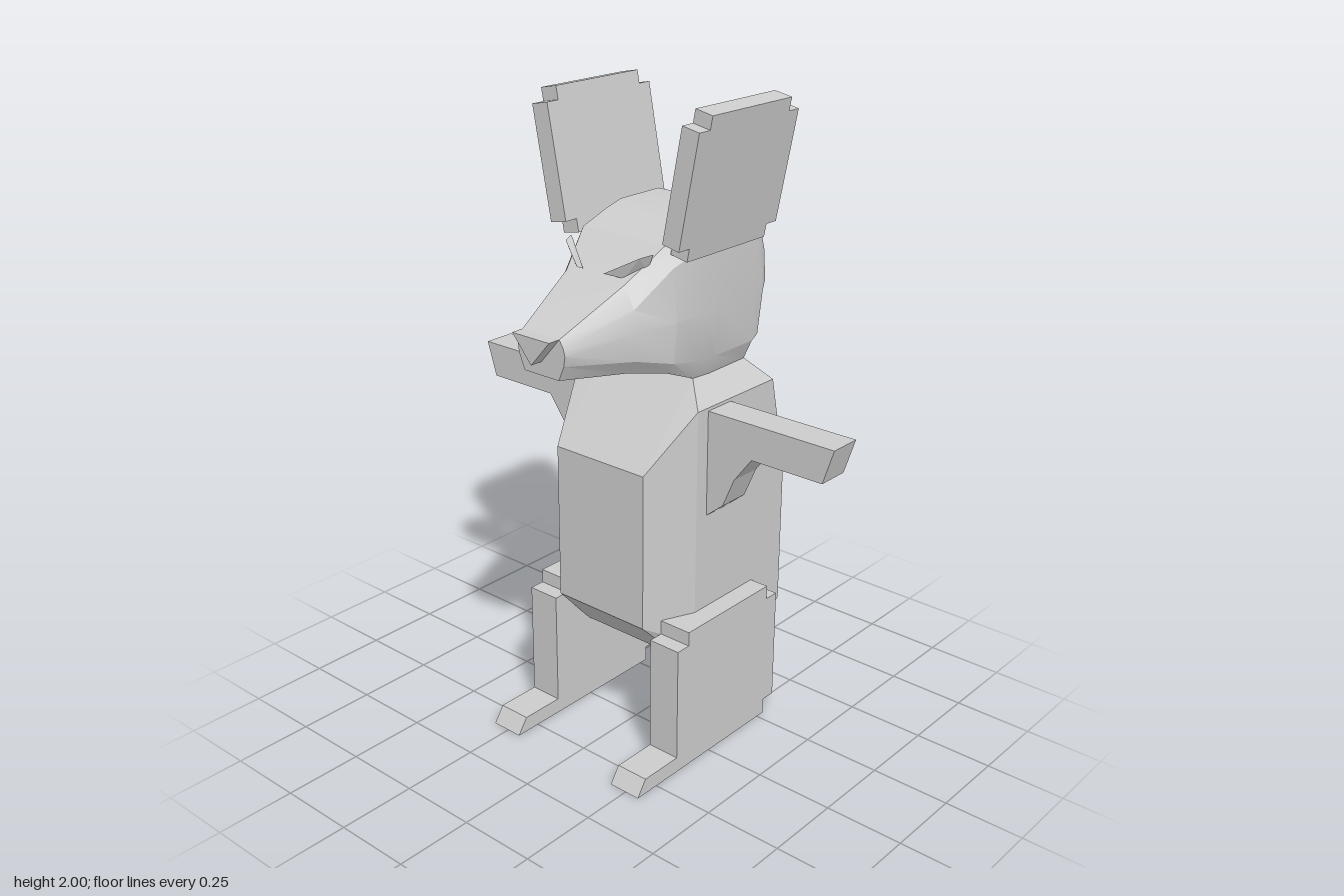
import * as THREE from 'three';
import { ConvexGeometry } from 'three/addons/geometries/ConvexGeometry.js';
import { toCreasedNormals } from 'three/addons/utils/BufferGeometryUtils.js';

const material = new THREE.MeshStandardMaterial({ color: 0xcccccc });

function add(parent, name, geometry) {
  const mesh = new THREE.Mesh(geometry, material);
  mesh.name = name;
  parent.add(mesh);
  return mesh;
}

// Flat outline pushed to a thickness, centred on its own plane
function slab(points, depth) {
  const shape = new THREE.Shape(points.map(([x, y]) => new THREE.Vector2(x, y)));
  return new THREE.ExtrudeGeometry(shape, { depth, bevelEnabled: false }).translate(0, 0, -depth / 2);
}

// Slab whose outline is given as (z, y) and whose thickness runs along x
const sideSlab = (points, depth) => slab(points, depth).rotateY(-Math.PI / 2);

// Convex solid from corner points
const hull = (points) => new ConvexGeometry(points.map((p) => new THREE.Vector3(...p)));

// Closed skin over mirrored cross-sections, ordered front to back;
// each section is [z, [x, y] from the underside up to the crown]
function loft(sections) {
  const positions = [];
  const index = [];
  const n = sections[0][1].length * 2;
  for (const [z, half] of sections) {
    for (const [x, y] of half) positions.push(x, y, z);
    for (const [x, y] of [...half].reverse()) positions.push(-x, y, z);
  }
  for (let i = 0; i < sections.length - 1; i++) {
    for (let j = 0; j < n; j++) {
      const k = (j + 1) % n;
      const a = i * n + j, b = i * n + k, c = a + n, d = b + n;
      index.push(a, c, b, b, c, d);
    }
  }
  const last = (sections.length - 1) * n;
  for (let j = 1; j < n - 1; j++) {
    index.push(0, j, j + 1, last, last + j + 1, last + j);
  }
  const geometry = new THREE.BufferGeometry();
  geometry.setAttribute('position', new THREE.Float32BufferAttribute(positions, 3));
  geometry.setIndex(index);
  return toCreasedNormals(geometry, 0.35);
}

export function createModel() {
  const model = new THREE.Group();
  model.name = 'longEaredAnimal';

  // Torso: a block with bevelled shoulders, belly and rump
  const corners = [
    [0.17, 1.19, -0.06], [0.17, 1.19, -0.30],
    [0.24, 1.12, 0.00], [0.24, 1.12, -0.36],
    [0.17, 0.95, 0.16], [0.17, 0.45, 0.16],
    [0.24, 0.81, -0.43], [0.24, 0.34, -0.43],
    [0.24, 0.36, 0.00], [0.20, 0.285, 0.00], [0.24, 0.285, -0.35],
  ];
  add(model, 'torso', hull(corners.flatMap(([x, y, z]) => [[x, y, z], [-x, y, z]])));

  // Head with tapering snout
  const head = new THREE.Group();
  head.name = 'head';
  model.add(head);
  add(head, 'skull', loft([
    [0.39, [[0.065, 1.285], [0.085, 1.33], [0.09, 1.36], [0.085, 1.38], [0.07, 1.405]]],
    [0.17, [[0.11, 1.255], [0.15, 1.30], [0.16, 1.385], [0.145, 1.45], [0.11, 1.515]]],
    [0.05, [[0.165, 1.235], [0.19, 1.27], [0.20, 1.395], [0.185, 1.55], [0.155, 1.61]]],
    [-0.06, [[0.17, 1.19], [0.195, 1.25], [0.21, 1.40], [0.205, 1.59], [0.165, 1.64]]],
    [-0.13, [[0.17, 1.18], [0.20, 1.25], [0.21, 1.40], [0.205, 1.60], [0.17, 1.655]]],
    [-0.30, [[0.17, 1.185], [0.20, 1.25], [0.21, 1.40], [0.20, 1.60], [0.17, 1.655]]],
    [-0.34, [[0.17, 1.235], [0.19, 1.26], [0.205, 1.40], [0.195, 1.57], [0.17, 1.61]]],
    [-0.37, [[0.17, 1.36], [0.18, 1.38], [0.19, 1.42], [0.185, 1.51], [0.17, 1.54]]],
  ]));

  // Wedge-shaped nose
  add(head, 'nose', slab([[-0.07, 1.405], [0, 1.325], [0.07, 1.405]], 0.05).translate(0, 0, 0.405));

  const earOutline = [
    [0.05, 0], [0.05, 0.04], [0.095, 0.04], [0.095, 0.38], [0.05, 0.38], [0.05, 0.42],
    [-0.30, 0.42], [-0.30, 0.38], [-0.345, 0.38], [-0.345, 0.04], [-0.30, 0.04], [-0.30, 0],
  ];
  const legOutline = [
    [0.335, 0], [0.30, 0.05], [0.155, 0.05], [0.155, 0.42], [0.105, 0.42], [0.105, 0.465],
    [-0.28, 0.465], [-0.28, 0.42], [-0.33, 0.42], [-0.33, 0.05], [-0.28, 0.05], [-0.28, 0],
  ];
  const armOutline = [
    [0.20, 1.11], [0.68, 1.11], [0.645, 1.00], [0.40, 1.00],
    [0.34, 0.92], [0.30, 0.825], [0.24, 0.775], [0.20, 0.775],
  ];
  const browCorners = [
    [0.155, 1.595, 0.10], [0.14, 1.59, 0.14], [0.05, 1.54, 0.19],
    [0.05, 1.53, 0.165], [0.09, 1.525, 0.15], [0.13, 1.54, 0.10],
  ];

  // Paired parts
  for (const [side, s] of [['left', 1], ['right', -1]]) {
    const ear = add(head, side + 'Ear', sideSlab(earOutline, 0.06));
    ear.position.set(s * 0.203, 1.582, 0);
    ear.rotation.z = -s * 0.193;

    add(head, side + 'Brow', hull(browCorners.map(([x, y, z]) => [s * x, y, z])));

    add(model, side + 'Arm', slab(armOutline.map(([x, y]) => [s * x, y]), 0.105))
      .position.z = -0.1;

    add(model, side + 'Leg', sideSlab(legOutline, 0.108)).position.x = s * 0.25;
  }

  for (const part of model.children) part.position.x -= 0.005;
  return model;
}
